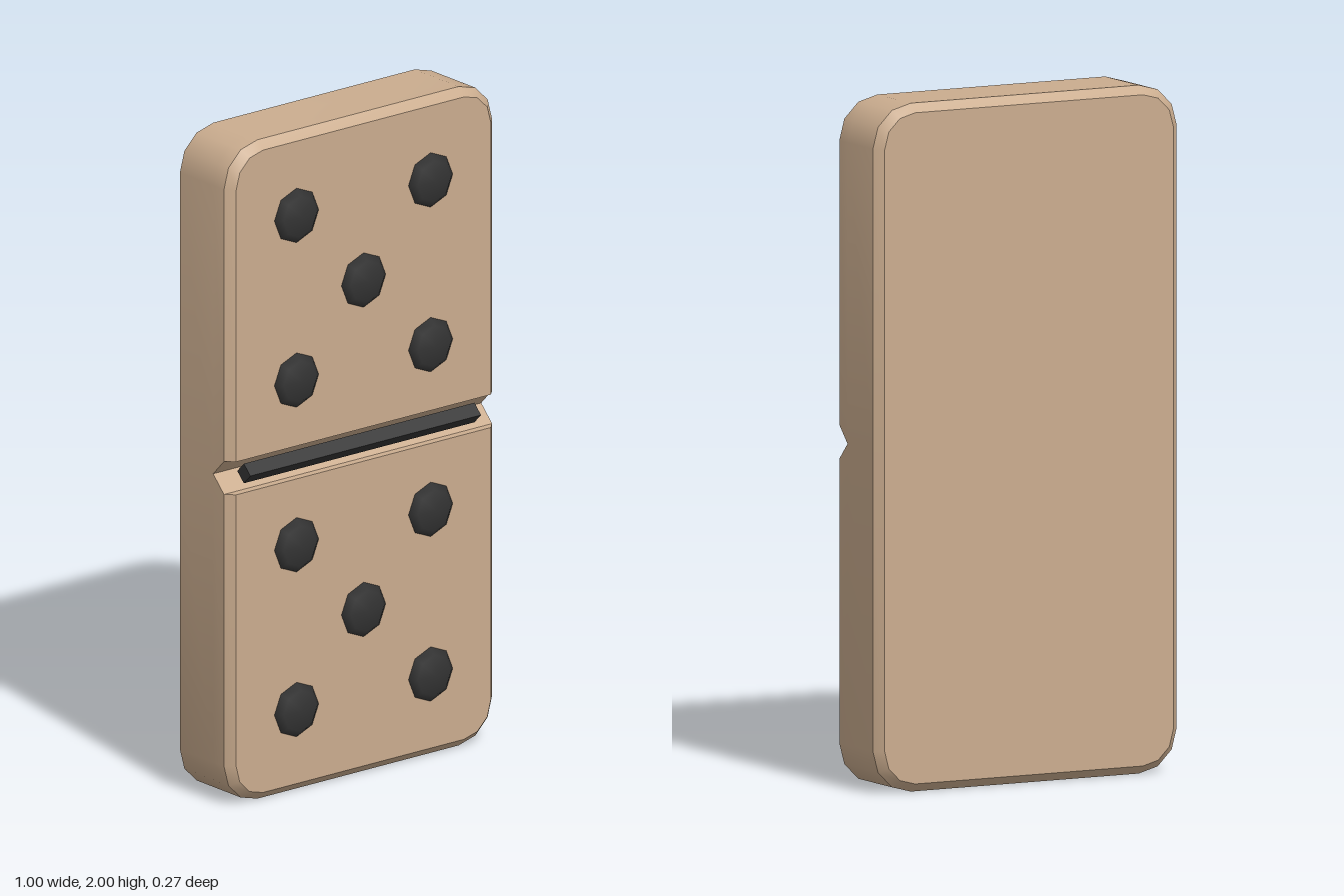
import * as THREE from 'three';
import { toCreasedNormals } from 'three/addons/utils/BufferGeometryUtils.js';

const HALF_W = 0.5, HALF_H = 1, RADIUS = 0.125, CORNER_STEPS = 3;

// Outline of the upper half tile: open bottom corners, two rounded top corners
function halfOutline(inset, bottom) {
  const r = RADIUS - inset, cx = HALF_W - RADIUS, cy = HALF_H - RADIUS;
  const pts = [[HALF_W - inset, bottom]];
  [[cx, 0], [-cx, Math.PI / 2]].forEach(([x, start]) => {
    for (let i = 0; i <= CORNER_STEPS; i++) {
      const a = start + (i / CORNER_STEPS) * Math.PI / 2;
      pts.push([x + r * Math.cos(a), cy + r * Math.sin(a)]);
    }
  });
  pts.push([-HALF_W + inset, bottom]);
  return pts;
}

// Half tile lofted from back to front, with half of the groove along its bottom
function halfTileGeometry() {
  const sections = [ // z, inset, bottom edge
    [-0.138, 0.025, 0], [-0.113, 0, 0], [0.037, 0, 0], [0.086, 0, 0.05], [0.111, 0.025, 0.05],
  ];
  const positions = [], index = [];
  let n = 0;
  sections.forEach(([z, inset, bottom]) => {
    const ring = halfOutline(inset, bottom);
    n = ring.length;
    ring.forEach(([x, y]) => positions.push(x, y, z));
  });
  const last = sections.length - 1;
  for (let k = 0; k < last; k++) {
    for (let i = 0; i < n; i++) {
      if (i === n - 1 && k < 2) continue; // joined to the other half
      const a = k * n + i, b = k * n + (i + 1) % n;
      index.push(a, b, b + n, a, b + n, a + n);
    }
  }
  for (let i = 1; i < n - 1; i++) {
    index.push(0, i + 1, i); // back
    index.push(last * n, last * n + i, last * n + i + 1); // front
  }
  const geo = new THREE.BufferGeometry();
  geo.setAttribute('position', new THREE.Float32BufferAttribute(positions, 3));
  geo.setIndex(index);
  return toCreasedNormals(geo, 0.6);
}

export function createModel() {
  const tan = new THREE.MeshStandardMaterial({ color: 0xcbad8f });
  tan.name = 'tan';
  const black = new THREE.MeshStandardMaterial({ color: 0x343434 });
  black.name = 'black';

  const model = new THREE.Group();
  model.name = 'domino';

  const tileGeo = halfTileGeometry();
  const pipGeo = new THREE.SphereGeometry(0.0875, 8, 4).rotateX(Math.PI / 2).scale(1, 1, 0.34);

  // Upper half, and the lower half as its half-turn
  ['upper', 'lower'].forEach((name, h) => {
    const half = new THREE.Group();
    half.name = name + 'Half';
    half.position.y = 1;

    const tile = new THREE.Mesh(tileGeo, tan);
    tile.name = name + 'Tile';
    tile.rotation.z = h * Math.PI;
    half.add(tile);

    // Five pips
    const cy = h === 0 ? 0.5 : -0.5;
    [[0, 0], [-1, -1], [1, -1], [-1, 1], [1, 1]].forEach(([sx, sy], i) => {
      const pip = new THREE.Mesh(pipGeo, black);
      pip.name = `${name}Pip${i + 1}`;
      pip.position.set(sx * 0.25, cy + sy * 0.25, 0.107);
      half.add(pip);
    });
    model.add(half);
  });

  // Square bar turned on edge in the groove
  const bar = new THREE.Mesh(new THREE.BoxGeometry(0.86, 0.042, 0.042), black);
  bar.name = 'dividerBar';
  bar.rotation.x = Math.PI / 4;
  bar.position.set(0, 1, 0.091);
  model.add(bar);

  return model;
}
